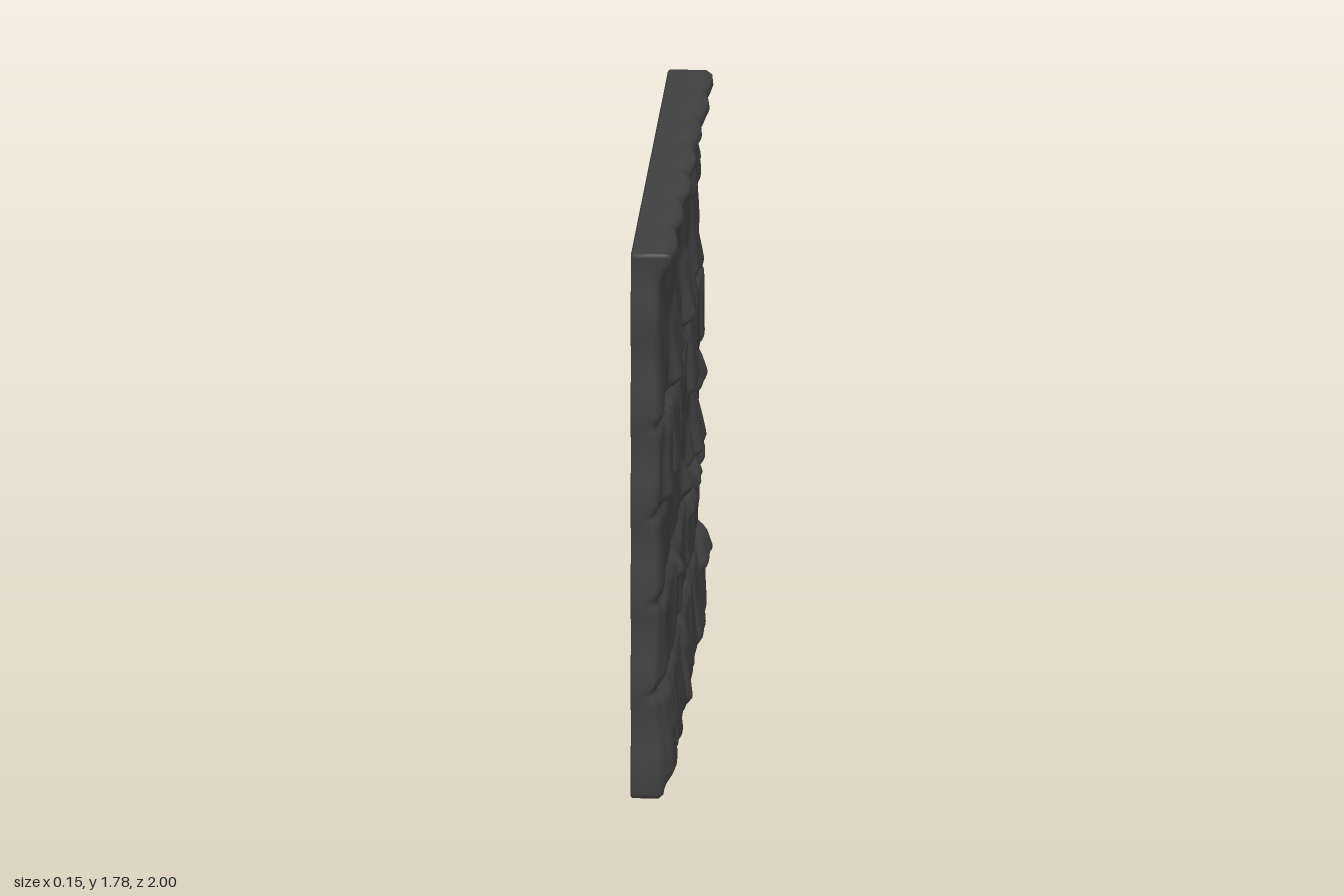
import * as THREE from 'three';
import { mergeVertices } from 'three/addons/utils/BufferGeometryUtils.js';

const HEIGHT = 1.78, LENGTH = 1.99, BACK = -0.08;
const { smoothstep, lerp, clamp } = THREE.MathUtils;

// Courses of stones: vertical joints along z, height range, relief at lower and upper edge
const courses = [
  { y0: 0.03, y1: 0.32, low: 0.024, high: 0.016, joints: [0.98, 0.69, 0.425, 0.15, 0.05, -0.205, -0.46, -0.73, -0.98] },
  { y0: 0.36, y1: 0.61, low: 0.016, high: 0.011, joints: [0.98, 0.46, 0.30, 0.06, -0.21, -0.47, -0.73, -0.98] },
  { y0: 0.93, y1: 1.20, low: 0.026, high: 0.021, joints: [0.92, 0.76, 0.665, 0.415, 0.175, -0.14] },
  { y0: 0.93, y1: 1.20, low: 0.028, high: 0.021, joints: [-0.215, -0.47, -0.78, -0.93] },
];

// Single bulges: centre z, centre y, width, height, relief (heaviest at the lower edge)
const bulges = [
  [0.54, 1.35, 0.22, 0.23, 0.050], [0.305, 1.34, 0.21, 0.21, 0.036],
  [-0.095, 1.35, 0.19, 0.22, 0.050], [-0.28, 1.33, 0.12, 0.18, 0.048],
  [-0.595, 1.36, 0.21, 0.24, 0.040], [-0.65, 1.605, 0.34, 0.19, 0.028],
  [-0.89, 1.56, 0.06, 0.08, 0.026], [-0.035, 0.735, 0.11, 0.11, 0.042],
  [-0.295, 0.765, 0.11, 0.15, 0.038], [-0.605, 0.765, 0.21, 0.23, 0.050],
  [-0.865, 0.845, 0.23, 0.11, 0.036], [0.365, 0.575, 0.09, 0.07, 0.028],
  [-0.345, 0.57, 0.19, 0.08, 0.030], [-0.63, 0.575, 0.16, 0.07, 0.024],
  [-0.86, 0.58, 0.18, 0.06, 0.020], [-0.855, 0.265, 0.23, 0.12, 0.036],
  [0.86, 0.25, 0.12, 0.15, 0.018], [0.10, 0.27, 0.08, 0.12, 0.016],
];

// Every raised stone as limits plus relief at its lower and upper edge
const stones = bulges.map(([z, y, w, h, low]) =>
  ({ z0: z - w / 2, z1: z + w / 2, y0: y - h / 2, y1: y + h / 2, low, high: low * 0.15 }));
for (const { y0, y1, low, high, joints } of courses) {
  for (let i = 0; i + 1 < joints.length; i++) {
    const vary = 1 + 0.3 * Math.sin(i * 2.4 + y0 * 9);
    stones.push({ z0: joints[i + 1] + 0.01, z1: joints[i] - 0.01, y0, y1, low: low * vary, high });
  }
}

// Horizontal mortar seams
const seams = [0.34, 0.63, 0.92, 1.22];

// Soft plateau between two limits
const plateau = (t, a, b, edge) =>
  smoothstep(t, a - edge / 2, a + edge) * (1 - smoothstep(t, b - edge, b + edge / 2));

// Depth of the stone face at a point of the wall
function relief(y, z) {
  const wobble = 0.008 * Math.sin(z * 17 + y * 5) + 0.005 * Math.sin(z * 41 - y * 13);
  let x = 0.016 + 0.003 * Math.sin(z * 7 + y * 11) + 0.002 * Math.sin(z * 19 - y * 23);
  x += 0.012 * (1 - smoothstep(y, 0.05, 0.3));
  for (const seam of seams) {
    const d = (y - seam - wobble * 0.5) / 0.018;
    x -= 0.017 * Math.exp(-d * d);
  }
  for (const { z0, z1, y0, y1, low, high } of stones) {
    const edge = Math.min(0.035, (z1 - z0) * 0.35, (y1 - y0) * 0.35);
    const k = plateau(z + wobble * 0.6, z0, z1, edge) * plateau(y + wobble * 0.6, y0, y1, edge);
    x += k * lerp(low, high, clamp((y - y0) / (y1 - y0), 0, 1));
  }
  // overhanging coping with a scalloped lower edge
  const scallop = Math.abs(Math.sin((z + 0.23) * Math.PI / 0.295));
  const lip = smoothstep(y, 1.65 + wobble, 1.765 + wobble * 0.5);
  return x + lip * lip * (0.022 + 0.026 * Math.sqrt(scallop) - 0.004 * z);
}

function wallGeometry() {
  const box = new THREE.BoxGeometry(1, HEIGHT, LENGTH, 4, 140, 156);
  box.deleteAttribute('normal');
  box.deleteAttribute('uv');
  const geometry = mergeVertices(box);
  const p = geometry.attributes.position;
  const layers = [0, 0.05, 0.5, 0.86, 1];
  const inset = [0.006, 0, 0, 0, 0.014];
  for (let i = 0; i < p.count; i++) {
    const layer = Math.round((p.getX(i) + 0.5) * 4);
    const y = p.getY(i) + HEIGHT / 2, z = p.getZ(i);
    const border = Math.min(y, HEIGHT - y, LENGTH / 2 - Math.abs(z));
    const face = relief(y, z) - 0.008 * (1 - smoothstep(border, 0, 0.03));
    // bevel the rim and make the side edges slightly uneven
    const sideWave = 0.004 * Math.sin(y * 21) * smoothstep(Math.abs(z), 0.9, 1);
    const zScale = 1 - inset[layer] + sideWave;
    const yScale = 1 - inset[layer] * 0.8;
    p.setXYZ(i, lerp(BACK, face, layers[layer]),
      (y - HEIGHT / 2) * yScale + HEIGHT / 2, z * zScale);
  }
  geometry.computeVertexNormals();
  return geometry;
}

export function createModel() {
  const group = new THREE.Group();
  group.name = 'stoneWallPanel';
  const stone = new THREE.MeshStandardMaterial({ color: 0x404040 });
  stone.name = 'dark grey stone';
  const wall = new THREE.Mesh(wallGeometry(), stone);
  wall.name = 'stoneWall';
  group.add(wall);
  return group;
}
